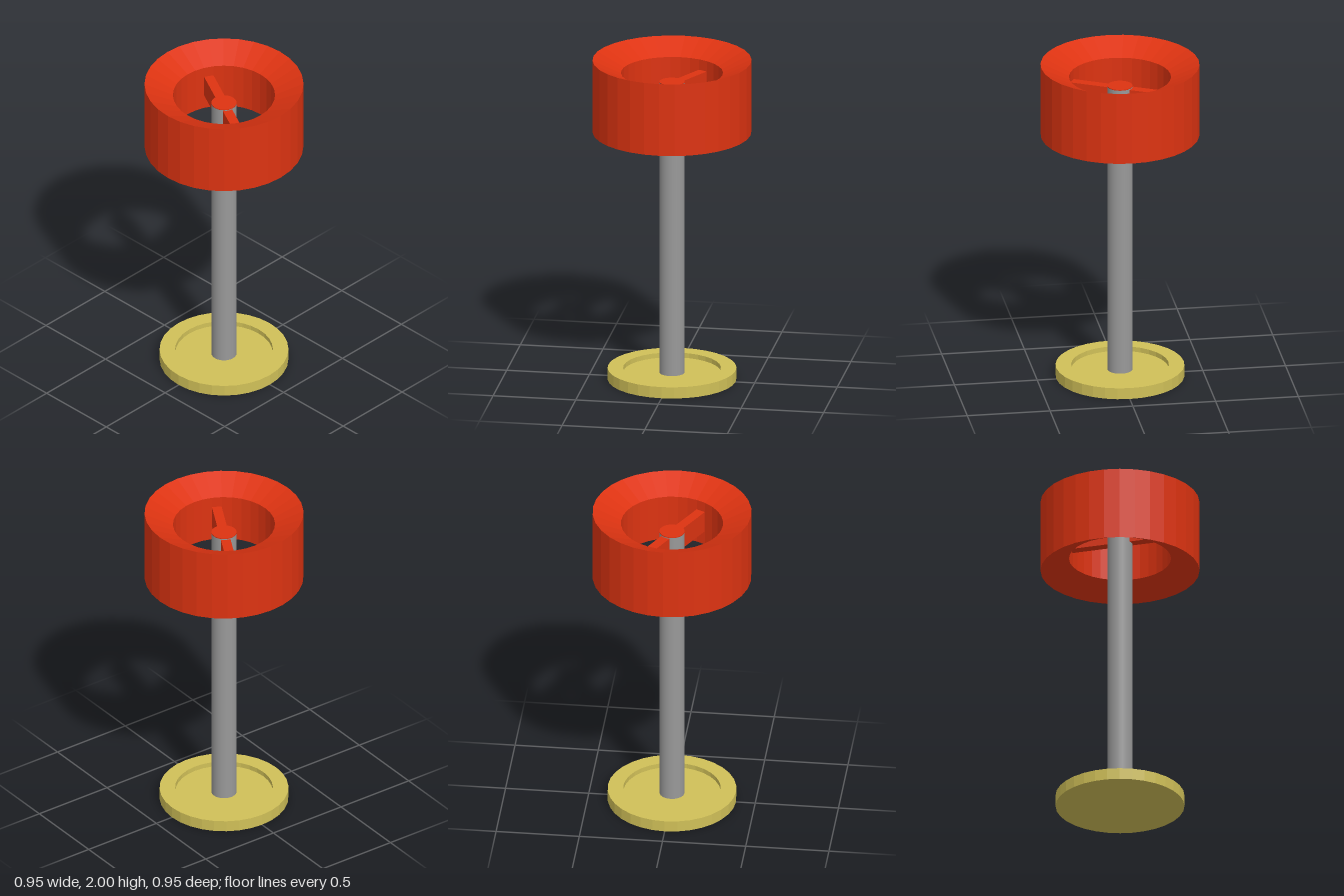
import * as THREE from 'three';

const SIDES = 32;

export function createModel() {
  const group = new THREE.Group();
  const red = new THREE.MeshStandardMaterial({ color: 0xdd3311, flatShading: true });
  const yellow = new THREE.MeshStandardMaterial({ color: 0xd0c058, flatShading: true });
  const grey = new THREE.MeshStandardMaterial({ color: 0x999999 });

  const add = (name, geometry, material, y = 0) => {
    const mesh = new THREE.Mesh(geometry, material);
    mesh.name = name;
    mesh.position.y = y;
    group.add(mesh);
    return mesh;
  };
  const lathe = (points) =>
    new THREE.LatheGeometry(points.map(([r, y]) => new THREE.Vector2(r, y)), SIDES);

  // Round base with a shallow recess in its top
  add('base', lathe([[0, 0], [0.385, 0], [0.385, 0.07], [0.292, 0.07], [0.292, 0.04], [0, 0.04]]), yellow);

  // Central pole and the thin disc that closes it
  add('pole', new THREE.CylinderGeometry(0.075, 0.075, 1.84, SIDES), grey, 0.94);
  add('poleCap', new THREE.CylinderGeometry(0.075, 0.075, 0.005, SIDES), red, 1.8625);

  // Drum ring whose top and bottom faces slope in to the opening
  add('drumRing', lathe([[0.475, 1.55], [0.475, 2], [0.305, 1.92], [0.305, 1.63], [0.475, 1.55]]), red);

  // Two opposite spokes joining the ring to the pole
  const direction = Math.atan2(0.27, 0.143);
  for (const [name, angle] of [['backSpoke', direction], ['frontSpoke', direction + Math.PI]]) {
    const geometry = new THREE.BoxGeometry(0.25, 0.135, 0.058);
    geometry.translate(0.183, 0, 0);
    add(name, geometry, red, 1.7875).rotation.y = angle;
  }

  return group;
}
